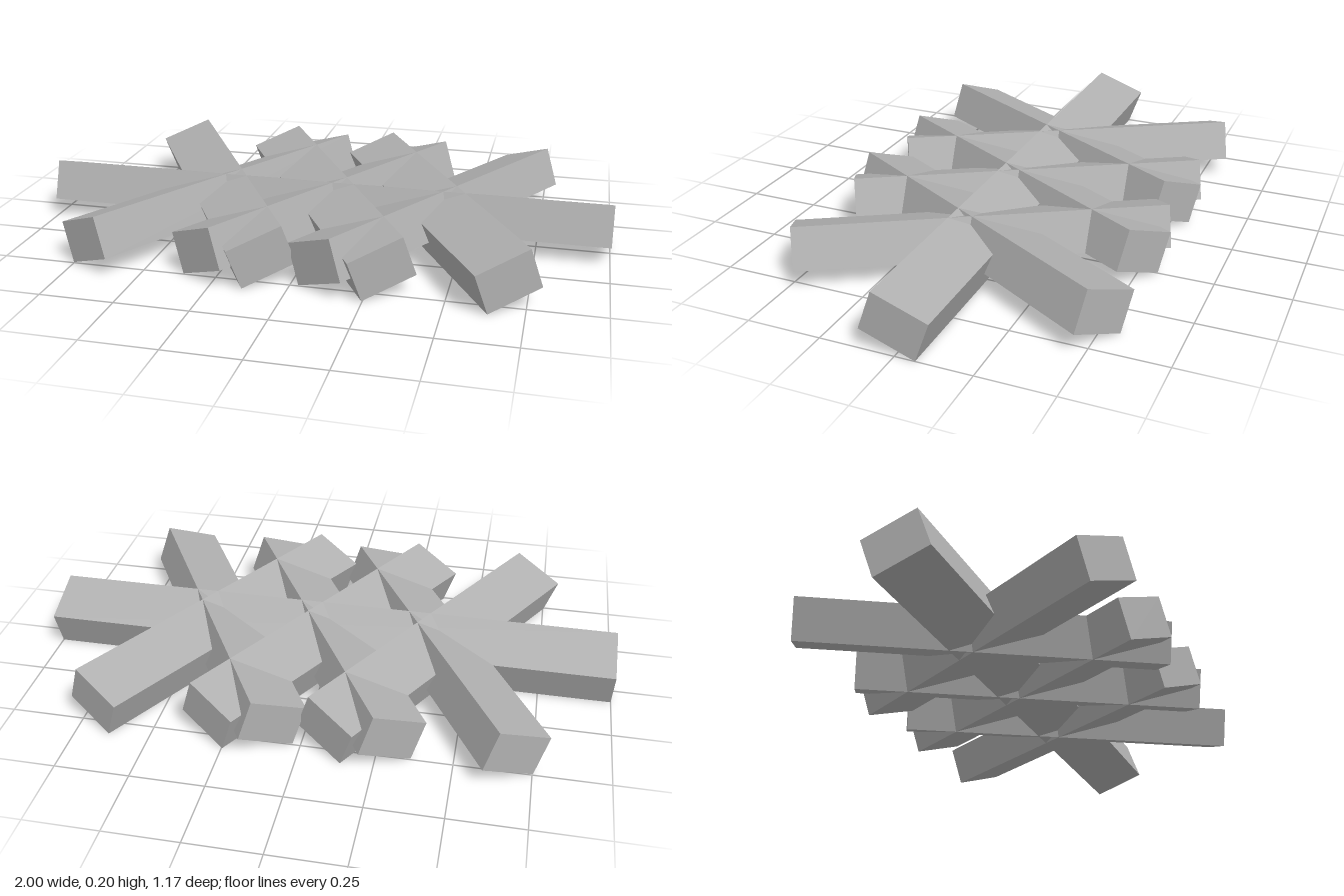
import * as THREE from 'three';

const WIDTH = 0.194, THICK = 0.142, TILT = THREE.MathUtils.degToRad(20);

// A rectangular bar rolled about its long axis, then turned about y
function bar(name, length, x, turnDegrees, material) {
  const geometry = new THREE.BoxGeometry(length, THICK, WIDTH);
  geometry.rotateX(-TILT);
  const mesh = new THREE.Mesh(geometry, material);
  mesh.name = name;
  mesh.rotation.y = THREE.MathUtils.degToRad(turnDegrees);
  mesh.position.set(x, 0.1, 0);
  return mesh;
}

export function createModel() {
  const grey = new THREE.MeshStandardMaterial({ color: 0xb0b0b0, flatShading: true });
  grey.name = 'grey';

  const model = new THREE.Group();
  model.name = 'crossedBars';

  // Long spine along x
  model.add(bar('spineBar', 2, 0, 0, grey));

  // Three pairs of shorter bars crossing it at 60 degrees
  [-0.39, 0, 0.39].forEach((x, i) => {
    model.add(bar(`risingBar${i + 1}`, 1.22, x, 60, grey));
    model.add(bar(`fallingBar${i + 1}`, 1.22, x, 120, grey));
  });

  return model;
}
